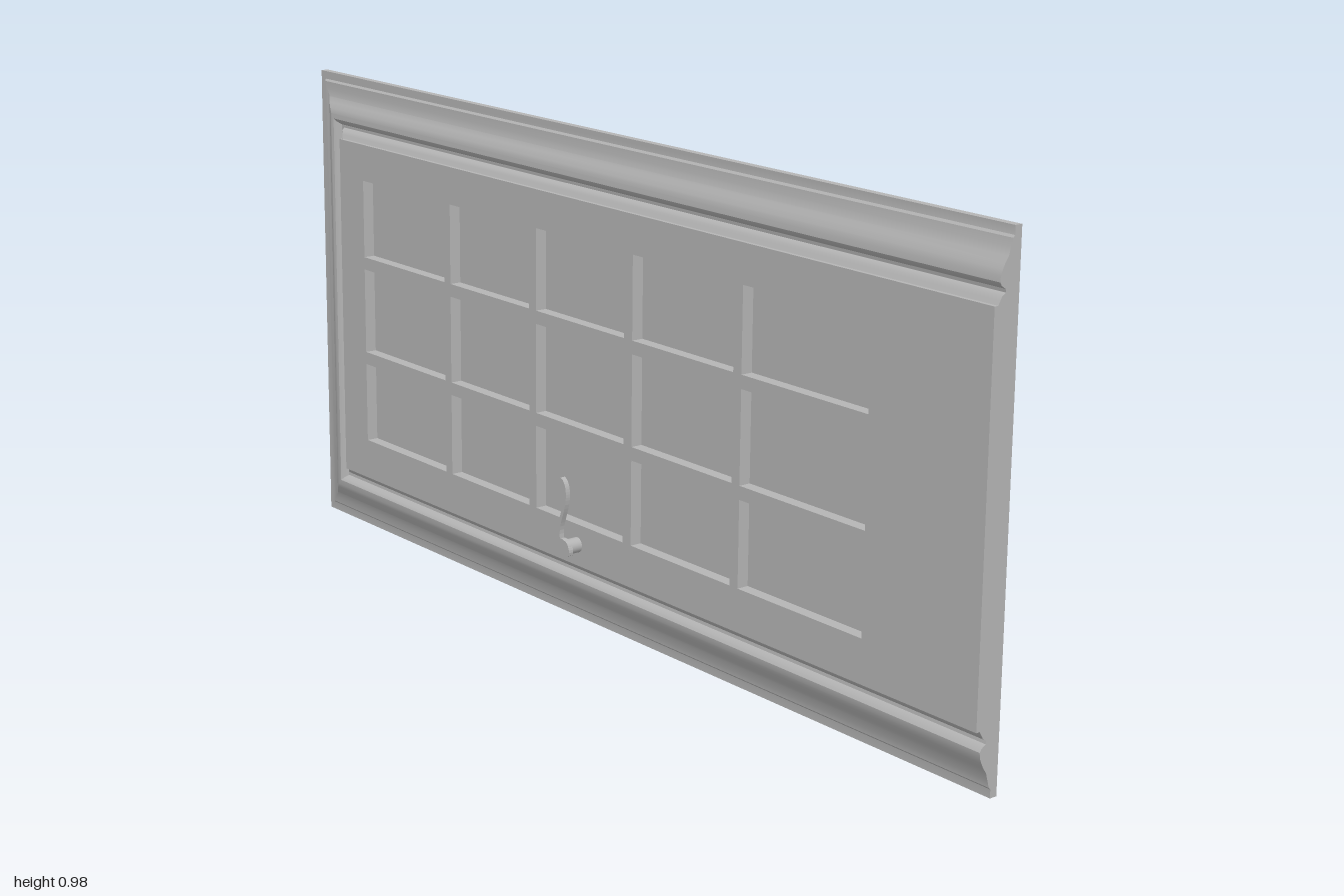
import * as THREE from 'three';
import { toCreasedNormals } from 'three/addons/utils/BufferGeometryUtils.js';

const W = 1, H = 0.482, BACK = -0.042, FRONT = 0.012, TRIM = 0.125;

// moulding section: [distance in from the outer edge, z]
const PROFILE = [
  [0, BACK], [0, -0.027], [0.016, -0.027], [0.02, -0.023], [0.034, -0.019], [0.048, -0.015],
  [0.058, -0.008], [0.068, -0.003], [0.078, 0.001], [0.088, 0.002], [0.094, -0.002],
  [0.1, -0.011], [0.106, -0.012], [0.111, -0.004], [0.118, 0], [TRIM, 0.004], [TRIM, BACK],
];

const COLUMNS = [[-0.789, -0.5], [-0.479, -0.217], [-0.195, 0.075], [0.099, 0.382], [0.404, 0.725]];
const ROWS = [[0.121, 0.282], [-0.082, 0.095], [-0.274, -0.108]];

function rectPath(path, x0, x1, y0, y1) {
  path.moveTo(x0, y0);
  path.lineTo(x1, y0);
  path.lineTo(x1, y1);
  path.lineTo(x0, y1);
  path.closePath();
  return path;
}

// mitred three-sided moulding swept round the outer edge
function trimGeometry() {
  const sections = [[0, 1], [1, 1], [1, -1], [0, -1]].map(([corner, side]) =>
    PROFILE.map(([d, z]) => [corner ? -W + d : W, side * (H - d), z]));
  const pos = [];
  const n = PROFILE.length;
  for (let s = 0; s < 3; s++) {
    for (let i = 0; i < n; i++) {
      const j = (i + 1) % n;
      const a = sections[s][i], b = sections[s + 1][i];
      const c = sections[s + 1][j], d = sections[s][j];
      pos.push(...a, ...b, ...c, ...a, ...c, ...d);
    }
  }
  const g = new THREE.BufferGeometry();
  g.setAttribute('position', new THREE.Float32BufferAttribute(pos, 3));
  g.computeVertexNormals();
  return toCreasedNormals(g, 0.5);
}

export function createModel() {
  const model = new THREE.Group();
  model.name = 'door';
  const grey = new THREE.MeshStandardMaterial({ color: 0xb4b4b4 });
  grey.name = 'plain grey';

  // everything sits in a panel turned very slightly clockwise
  const panel = new THREE.Group();
  panel.name = 'doorPanel';
  panel.position.y = 0.49;
  panel.rotation.z = -0.0075;
  model.add(panel);

  function add(name, geometry, x = 0, y = 0, z = 0, parent = panel) {
    const mesh = new THREE.Mesh(geometry, grey);
    mesh.name = name;
    mesh.position.set(x, y, z);
    parent.add(mesh);
    return mesh;
  }

  // door slab with window openings
  const slab = rectPath(new THREE.Shape(), -W + TRIM, W, -H + TRIM, H - TRIM);
  for (const [x0, x1] of COLUMNS) {
    for (const [y0, y1] of ROWS) {
      slab.holes.push(rectPath(new THREE.Path(), x0, x1, y0, y1));
      // recessed pane
      add('windowPane', new THREE.BoxGeometry(x1 - x0, y1 - y0, 0.006),
        (x0 + x1) / 2, (y0 + y1) / 2, -0.015);
    }
  }
  add('doorSlab', new THREE.ExtrudeGeometry(slab, { depth: FRONT - BACK, bevelEnabled: false }), 0, 0, BACK);

  // casing and its two cut ends
  add('casing', trimGeometry());
  for (const side of [1, -1]) {
    const end = new THREE.Shape(PROFILE.map(([d, z]) => new THREE.Vector2(-z, side * (H - d))));
    add('casingEnd', new THREE.ShapeGeometry(end).rotateY(Math.PI / 2), W);
  }

  // handle: round spindle and a curved flat lever
  const handle = new THREE.Group();
  handle.name = 'handle';
  handle.position.set(-0.064, -0.315, 0);
  panel.add(handle);
  add('spindle', new THREE.CylinderGeometry(0.015, 0.015, 0.034, 24).rotateX(Math.PI / 2), 0, 0, 0.028, handle);
  const lever = new THREE.Shape();
  lever.moveTo(0.016, -0.012);
  lever.bezierCurveTo(0, -0.024, -0.026, -0.01, -0.024, 0.018);
  lever.bezierCurveTo(-0.022, 0.055, 0.004, 0.075, -0.003, 0.11);
  lever.lineTo(-0.01, 0.138);
  lever.bezierCurveTo(0.004, 0.135, 0.009, 0.115, 0.006, 0.095);
  lever.bezierCurveTo(0.002, 0.065, -0.016, 0.045, -0.012, 0.016);
  lever.bezierCurveTo(0, 0.02, 0.022, 0.008, 0.016, -0.012);
  add('lever', new THREE.ExtrudeGeometry(lever, { depth: 0.01, bevelEnabled: false, curveSegments: 10 }),
    0, 0, 0.035, handle);

  return model;
}
